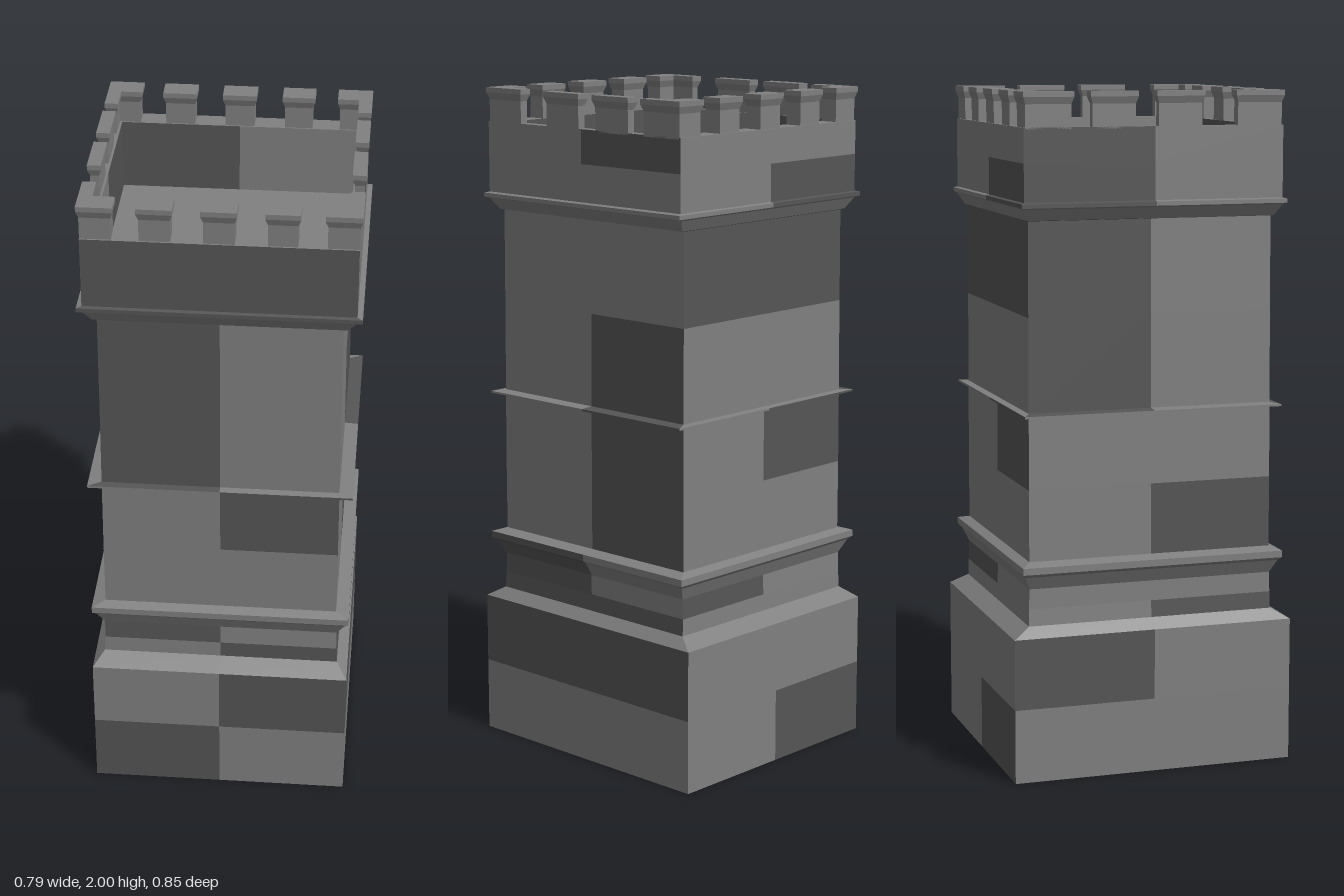
import * as THREE from 'three';

const stone = [0x808080, 0x555555].map(color =>
  new THREE.MeshStandardMaterial({ color, flatShading: true }));

// Point on a rectangular ring [halfX, y, halfZ]; side 0 front, 1 right, 2 back, 3 left; u runs -1..1
function ringPoint([hx, y, hz], side, u) {
  return [[u * hx, y, hz], [hx, y, -u * hz], [-u * hx, y, -hz], [-hx, y, u * hz]][side];
}

// Dark stone panels: side, half (0 left, 1 right as seen from outside), from y, to y
const darkPanels = [
  [0, 0, 0, 0.22], [0, 1, 0.22, 0.43], [0, 0, 0.51, 0.57], [0, 1, 0.46, 0.51],
  [0, 1, 0.86, 1.08], [0, 0, 1.08, 1.64], [0, 0, 1.68, 1.9], [0, 1, 1.68, 1.9],
  [1, 0, 0.22, 0.43], [1, 1, 0.22, 0.43], [1, 0, 0.46, 0.64], [1, 1, 0.46, 0.51],
  [1, 1, 0.65, 1.36], [1, 1, 1.8, 1.9],
  [2, 1, 0, 0.22], [2, 1, 0.86, 1.08], [2, 0, 1.36, 1.64], [2, 1, 1.36, 1.64],
  [2, 1, 1.68, 1.8], [2, 0, 0.51, 0.57],
  [3, 0, 0.22, 0.43], [3, 1, 0.65, 0.86], [3, 0, 1.08, 1.64], [3, 0, 1.68, 1.9],
  [3, 1, 0.46, 0.51],
];

function isDark(side, half, y0, y1) {
  const mid = (y0 + y1) / 2;
  return y0 !== y1 && darkPanels.some(([s, h, a, b]) => s === side && h === half && mid > a && mid < b);
}

// Skin a stack of rectangular rings, two panels per side, sorted into light and dark stone
function courses(name, rings) {
  const group = new THREE.Group();
  group.name = name;
  const verts = [[], []];
  for (let i = 0; i < rings.length - 1; i++) {
    const lo = rings[i], hi = rings[i + 1];
    for (let side = 0; side < 4; side++) {
      for (let half = 0; half < 2; half++) {
        const a = ringPoint(lo, side, half - 1), b = ringPoint(lo, side, half);
        const c = ringPoint(hi, side, half), d = ringPoint(hi, side, half - 1);
        const out = verts[isDark(side, half, lo[1], hi[1]) ? 1 : 0];
        if (lo[0] > 0) out.push(...a, ...b, ...c);
        if (hi[0] > 0) out.push(...(lo[0] > 0 ? a : b), ...c, ...d);
      }
    }
  }
  verts.forEach((v, i) => {
    if (!v.length) return;
    const geo = new THREE.BufferGeometry();
    geo.setAttribute('position', new THREE.Float32BufferAttribute(v, 3));
    geo.computeVertexNormals();
    const mesh = new THREE.Mesh(geo, stone[i]);
    mesh.name = name + (i ? 'DarkStone' : 'LightStone');
    group.add(mesh);
  });
  return group;
}

// Battlement tooth with a flared cap, filling x0..x1 and z0..z1
function merlon(x0, x1, z0, z1) {
  const w = (x1 - x0) / 2, d = (z1 - z0) / 2, e = 0.007;
  const tooth = courses('merlon', [
    [w - e, 1.895, d - e], [w - e, 1.965, d - e], [w, 1.985, d],
    [w, 2, d], [0, 2, 0],
  ]);
  tooth.position.set((x0 + x1) / 2, 0, (z0 + z1) / 2);
  return tooth;
}

export function createModel() {
  const tower = new THREE.Group();
  tower.name = 'tower';

  // Plinth with sloped top
  tower.add(courses('plinth', [
    [0, 0, 0], [0.387, 0, 0.427], [0.387, 0.22, 0.427], [0.387, 0.43, 0.427], [0.355, 0.46, 0.375],
  ]));

  // Neck and flared moulding
  tower.add(courses('lowerMoulding', [
    [0.355, 0.46, 0.375], [0.352, 0.51, 0.374], [0.352, 0.57, 0.372], [0.375, 0.61, 0.39],
    [0.387, 0.62, 0.4], [0.387, 0.64, 0.4], [0.348, 0.65, 0.371],
  ]));

  // Shaft
  tower.add(courses('shaft', [
    [0.348, 0.65, 0.371], [0.348, 0.86, 0.371], [0.347, 1.08, 0.37],
    [0.345, 1.36, 0.369], [0.344, 1.64, 0.368],
  ]));

  // Thin string course
  tower.add(courses('stringCourse', [
    [0.34, 1.073, 0.365], [0.387, 1.076, 0.392], [0.387, 1.082, 0.392], [0.34, 1.085, 0.365],
  ]));

  // Cornice under the parapet
  tower.add(courses('cornice', [
    [0.344, 1.635, 0.368], [0.356, 1.637, 0.373], [0.38, 1.67, 0.392], [0.397, 1.675, 0.4],
    [0.397, 1.687, 0.4], [0.382, 1.69, 0.39],
  ]));

  // Parapet: outer wall, rim, inner wall and roof floor
  tower.add(courses('parapet', [
    [0.382, 1.69, 0.39], [0.382, 1.8, 0.39], [0.382, 1.9, 0.39],
    [0.35, 1.9, 0.328], [0.35, 1.69, 0.328], [0, 1.69, 0],
  ]));

  // Battlements: five teeth front and back, four on each flank, meeting at the corners
  const battlements = new THREE.Group();
  battlements.name = 'battlements';
  for (const s of [-1, 1]) {
    for (const [a, b] of [[-0.388, -0.288], [-0.226, -0.126], [-0.05, 0.05], [0.126, 0.222], [0.288, 0.388]]) {
      battlements.add(s > 0 ? merlon(a, b, 0.325, 0.392) : merlon(a, b, -0.392, -0.325));
    }
    for (const [a, b] of [[-0.391, -0.243], [-0.195, -0.052], [0.003, 0.148], [0.243, 0.391]]) {
      battlements.add(s > 0 ? merlon(0.35, 0.389, a, b) : merlon(-0.389, -0.35, a, b));
    }
  }
  tower.add(battlements);
  return tower;
}
